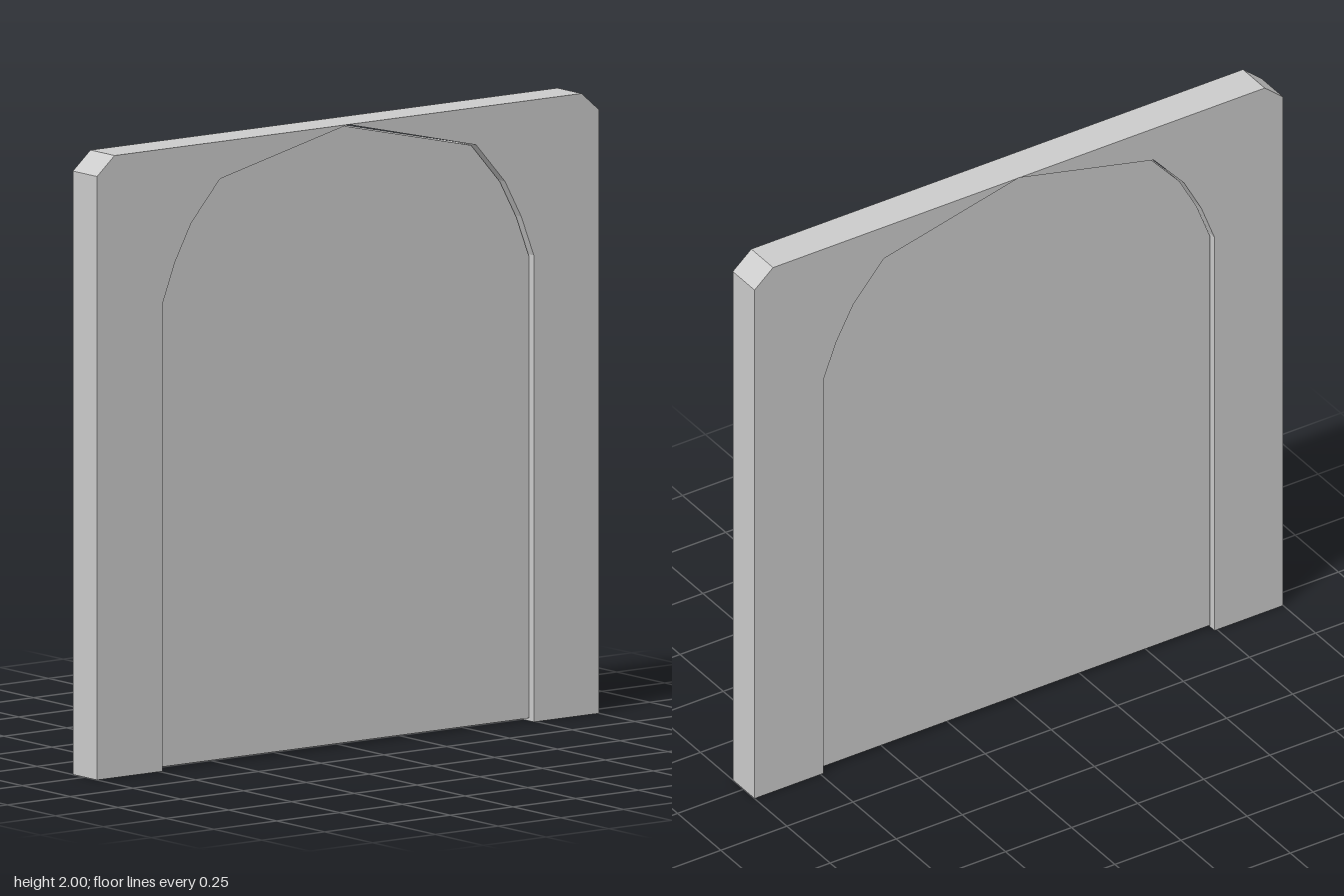
import * as THREE from 'three';

const material = new THREE.MeshStandardMaterial({ color: 0xcccccc, flatShading: true });

// Extrude an outline to a slab centred on z = 0
function slab(name, points, depth) {
  const shape = new THREE.Shape(points.map(([x, y]) => new THREE.Vector2(x, y)));
  const geometry = new THREE.ExtrudeGeometry(shape, { depth, bevelEnabled: false });
  geometry.translate(0, 0, -depth / 2);
  const mesh = new THREE.Mesh(geometry, material);
  mesh.name = name;
  return mesh;
}

const mirror = (points) => points.map(([x, y]) => [-x, y]).reverse();

export function createModel() {
  const group = new THREE.Group();
  group.name = 'archedDoorway';

  // Half of the arch, from the floor up to the shoulder
  const arch = [[0.74, 0], [0.74, 1.5], [0.69, 1.63], [0.625, 1.75], [0.51, 1.88]];

  // Surround: two halves meeting at the arch's peak, with clipped top corners
  const half = [...arch, [0, 2], [0.93, 2], [1, 1.94], [1, 0]];
  group.add(slab('leftSurround', half, 0.126));
  group.add(slab('rightSurround', mirror(half), 0.126));

  // Door leaf: recessed on both faces, with a hairline gap and raised off the floor
  const gap = 0.004;
  const leaf = arch.map(([x, y], i) => [x - gap, i === 0 ? 0.01 : y - gap]);
  group.add(slab('doorLeaf', [...leaf, [0, 2 - 2 * gap], ...mirror(leaf)], 0.084));

  return group;
}
